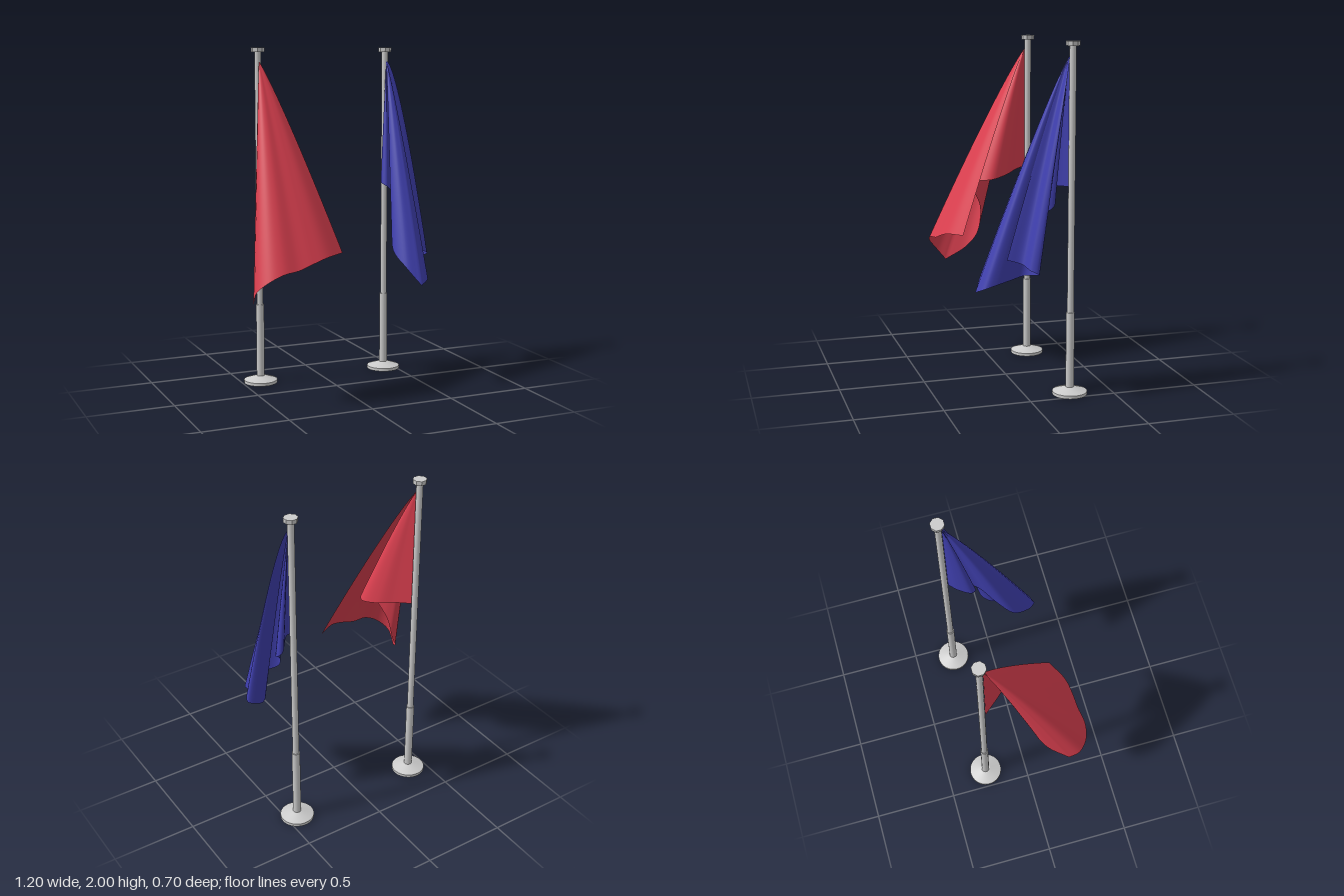
import * as THREE from 'three';

const POLE_Z = -0.255;
const grey = new THREE.MeshStandardMaterial({ color: 0xcccccc });

function part(name, geometry, material = grey) {
  const mesh = new THREE.Mesh(geometry, material);
  mesh.name = name;
  return mesh;
}

function tube(name, top, bottom, y0, y1, sides) {
  const g = new THREE.CylinderGeometry(top, bottom, y1 - y0, sides);
  return part(name, g.translate(0, (y0 + y1) / 2, 0));
}

// Stand: domed foot, thick lower sleeve, thinner upper pole, octagonal cap
function createPole() {
  const pole = new THREE.Group();
  pole.name = 'pole';
  pole.add(tube('footRim', 0.1, 0.1, 0, 0.018, 40));
  pole.add(tube('footSlope', 0.03, 0.1, 0.018, 0.042, 40));
  pole.add(tube('lowerSleeve', 0.024, 0.024, 0.04, 0.48, 16));
  pole.add(tube('upperPole', 0.019, 0.019, 0.48, 1.98, 16));
  const cap = tube('cap', 0.04, 0.038, 1.974, 2, 8);
  cap.geometry = cap.geometry.toNonIndexed();
  cap.geometry.rotateY(Math.PI / 8);
  cap.geometry.computeVertexNormals();
  pole.add(cap);
  return pole;
}

// Draped cloth: folds fan out from the top corner down to the two free edges.
// Edge points are offsets from that corner: [x, y, z, optional bulge exponent]
function createFlag(bottomEdge, flyEdge, color) {
  const COLS = 60, ROWS = 40;
  const hem = [];
  for (const edge of [bottomEdge, flyEdge]) {
    const curve = new THREE.CatmullRomCurve3(edge.map((p) => new THREE.Vector3(p[0], p[1], p[2])));
    for (let i = hem.length ? 1 : 0; i <= COLS; i++) {
      const u = (i / COLS) * (edge.length - 1);
      const k = Math.min(Math.floor(u), edge.length - 2);
      const bulge = THREE.MathUtils.lerp(edge[k][3] ?? 0.9, edge[k + 1][3] ?? 0.9, u - k);
      hem.push({ p: curve.getPoint(i / COLS), bulge });
    }
  }
  const pos = [], index = [], n = hem.length;
  for (let r = 0; r <= ROWS; r++) {
    const t = 0.004 + 0.996 * (r / ROWS) ** 1.4;
    for (const { p, bulge } of hem) {
      pos.push(p.x * t ** bulge, p.y * t, p.z * t ** 0.9);
    }
  }
  for (let r = 0; r < ROWS; r++) {
    for (let c = 0; c < n - 1; c++) {
      const a = r * n + c, b = a + n;
      index.push(a, b, a + 1, a + 1, b, b + 1);
    }
  }
  const g = new THREE.BufferGeometry();
  g.setAttribute('position', new THREE.Float32BufferAttribute(pos, 3));
  g.setIndex(index);
  g.computeVertexNormals();
  const flag = part('flag', g, new THREE.MeshStandardMaterial({ color, side: THREE.DoubleSide }));
  flag.position.set(0, 1.92, 0.02);
  return flag;
}

function createFlagStand(name, x, bottomEdge, flyEdge, color) {
  const stand = new THREE.Group();
  stand.name = name;
  stand.position.set(x, 0, POLE_Z);
  stand.add(createPole(), createFlag(bottomEdge, flyEdge, color));
  return stand;
}

export function createModel() {
  const model = new THREE.Group();
  model.name = 'flagPair';

  // Wide open drape with one fold tucked behind
  model.add(createFlagStand('redFlagStand', -0.39,
    [
      [0, -0.72, 0], [0.07, -0.73, 0.08], [0.14, -0.75, 0.16], [0.175, -0.77, 0.26],
      [0.13, -0.78, 0.33], [0.05, -0.82, 0.35], [-0.02, -0.96, 0.28],
      [-0.07, -1.13, 0.28], [-0.14, -1.24, 0.34], [-0.21, -1.33, 0.455],
    ],
    [
      [-0.21, -1.33, 0.455], [-0.213, -1.25, 0.52], [-0.16, -1.19, 0.57], [-0.08, -1.15, 0.585],
      [0.02, -1.135, 0.57], [0.11, -1.105, 0.56], [0.2, -1.08, 0.54], [0.32, -1.07, 0.475],
    ], 0xdc4050));

  // Narrow drape gathered into several folds
  model.add(createFlagStand('blueFlagStand', 0.43,
    [
      [0, -0.72, 0], [-0.05, -0.72, 0.05], [-0.085, -0.73, 0.12], [-0.06, -0.75, 0.15],
      [0.01, -0.8, 0.08], [0.03, -0.83, 0.1], [0.0, -0.88, 0.18], [-0.08, -0.98, 0.27],
      [-0.125, -1.1, 0.365], [-0.09, -1.19, 0.47], [-0.02, -1.29, 0.53],
    ],
    [
      [-0.02, -1.29, 0.53], [0.04, -1.26, 0.49], [0.05, -1.24, 0.43], [0.035, -1.22, 0.34],
      [0.03, -1.2, 0.26], [0.09, -1.19, 0.205, 0.65], [0.165, -1.165, 0.225, 0.55],
      [0.15, -1.145, 0.265, 0.6], [0.08, -1.125, 0.29, 0.8], [0.055, -1.1, 0.37],
    ], 0x4040b0));

  return model;
}
